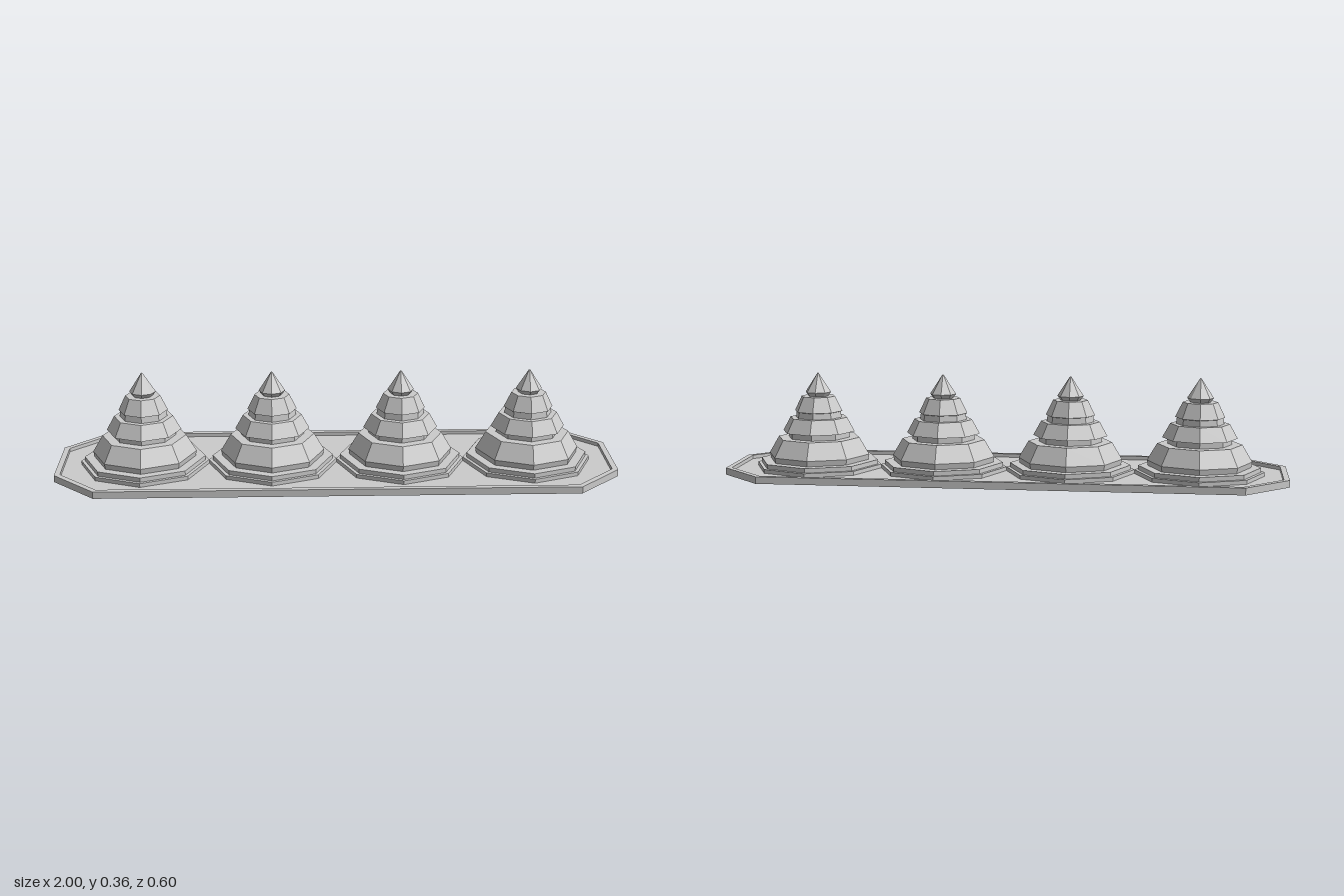
import * as THREE from 'three';

const grey = new THREE.MeshStandardMaterial({ color: 0xcccccc, flatShading: true });

// Elongated octagon, inset by d from the outer tray edge
function outline(d) {
  const x = 1 - d, z = 0.3 - d, cx = 0.845 - d * 0.414, cz = 0.14 - d * 0.414;
  return [[cx, -z], [x, -cz], [x, cz], [cx, z], [-cx, z], [-x, cz], [-x, -cz], [-cx, -z]]
    .map(([a, b]) => new THREE.Vector2(a, b));
}

function slab(name, shape, y, height) {
  const geometry = new THREE.ExtrudeGeometry(shape, { depth: height, bevelEnabled: false });
  geometry.rotateX(-Math.PI / 2);
  const mesh = new THREE.Mesh(geometry, grey);
  mesh.position.y = y;
  mesh.name = name;
  return mesh;
}

// Eight-sided turned part from [radius, height] pairs, corners on the axes
function turned(name, profile) {
  const points = profile.map(([r, y]) => new THREE.Vector2(r, y));
  const mesh = new THREE.Mesh(new THREE.LatheGeometry(points, 8), grey);
  mesh.name = name;
  return mesh;
}

function createTree() {
  const tree = new THREE.Group();
  tree.name = 'tree';
  tree.add(
    turned('steppedBase', [[0.23, 0.012], [0.23, 0.026], [0.217, 0.026], [0.217, 0.042], [0, 0.042]]),
    turned('lowerTier', [[0.182, 0.042], [0.186, 0.062], [0.15, 0.123], [0, 0.123]]),
    turned('middleTier', [[0.113, 0.123], [0.113, 0.142], [0.133, 0.145], [0.105, 0.196], [0, 0.196]]),
    turned('upperTier', [[0.085, 0.196], [0.082, 0.217], [0.088, 0.219], [0.062, 0.273], [0, 0.273]]),
    turned('pointedTop', [[0.036, 0.273], [0.047, 0.288], [0.003, 0.356], [0, 0.358]])
  );
  return tree;
}

export function createModel() {
  const model = new THREE.Group();
  model.name = 'treeRow';

  // Shallow tray with a raised rim
  const rim = new THREE.Shape(outline(0));
  rim.holes.push(new THREE.Path(outline(0.02).reverse()));
  model.add(slab('trayFloor', new THREE.Shape(outline(0)), 0, 0.012));
  model.add(slab('trayRim', rim, 0.012, 0.013));

  // Row of four trees
  for (let i = 0; i < 4; i++) {
    const tree = createTree();
    tree.position.x = (i - 1.5) * 0.46;
    model.add(tree);
  }
  return model;
}
